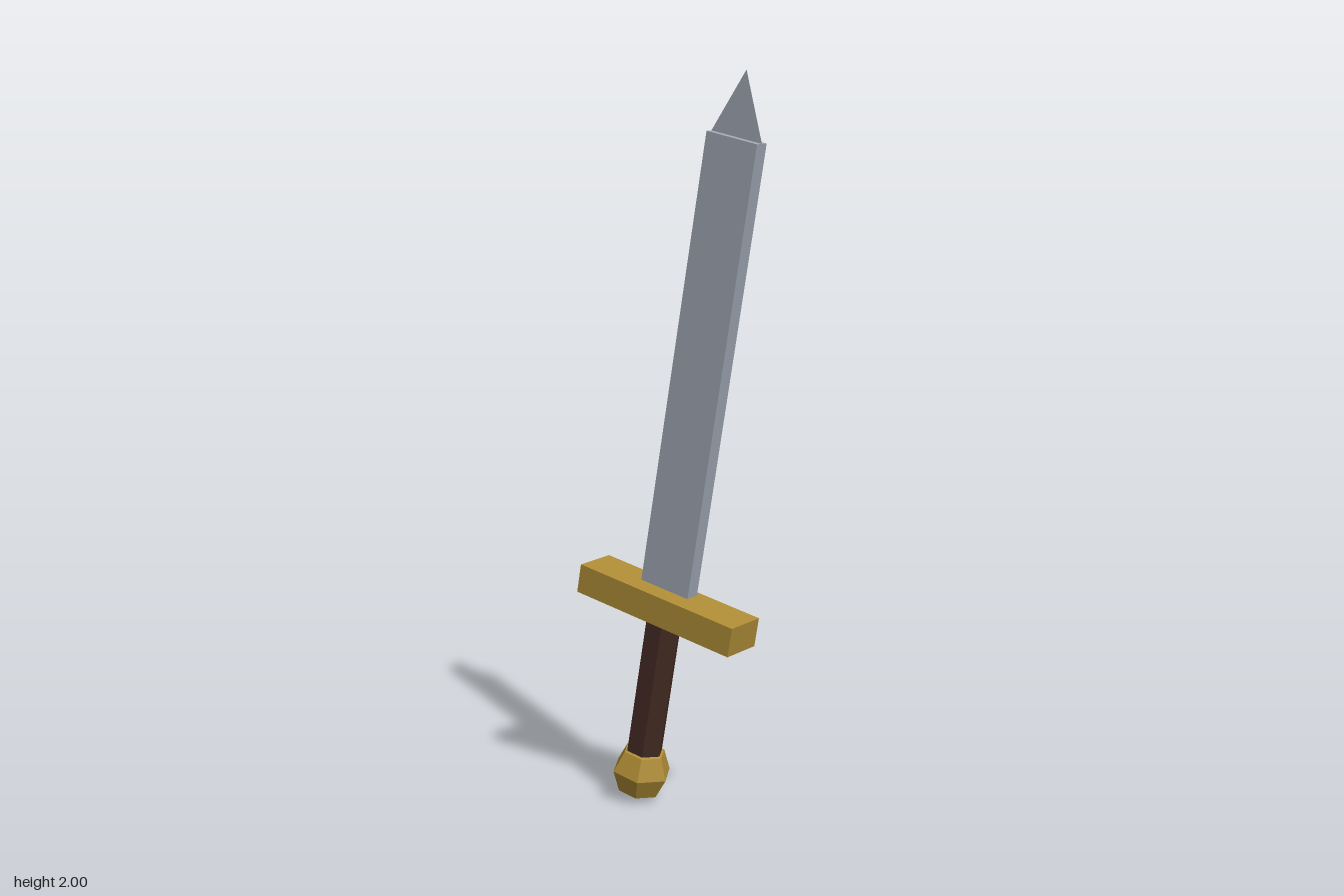
import * as THREE from 'three';

const steel = new THREE.MeshStandardMaterial({ color: 0xa0a7b3 });
steel.name = 'steel';
steel.flatShading = true;
steel.side = THREE.DoubleSide; // the point is a single thin sheet
const brass = new THREE.MeshStandardMaterial({ color: 0xae8c36 });
brass.name = 'brass';
brass.flatShading = true;
const leather = new THREE.MeshStandardMaterial({ color: 0x432a22 });
leather.name = 'leather';
leather.flatShading = true;

export function createModel() {
  // The sword is built upright around the guard, then leaned to its left
  const sword = new THREE.Group();
  sword.name = 'sword';
  const add = (name, geometry, material, y) => {
    const mesh = new THREE.Mesh(geometry, material);
    mesh.name = name;
    mesh.position.y = y;
    sword.add(mesh);
  };

  // Blade floats just above the guard
  const bladeWidth = 0.158, bladeBase = 0.05, bladeLength = 1.227;
  const bladeTop = bladeBase + bladeLength;
  add('blade', new THREE.BoxGeometry(bladeWidth, bladeLength, 0.042), steel, bladeBase + bladeLength / 2);

  // Flat triangular point in the middle of the blade's thickness
  const point = new THREE.Shape([
    new THREE.Vector2(-bladeWidth / 2, 0),
    new THREE.Vector2(bladeWidth / 2, 0),
    new THREE.Vector2(0, 0.17),
  ]);
  add('bladePoint', new THREE.ShapeGeometry(point), steel, bladeTop);

  add('guard', new THREE.BoxGeometry(0.516, 0.081, 0.122), brass, 0);

  // Six-sided grip and pommel, with corners facing sideways
  add('grip', new THREE.CylinderGeometry(0.052, 0.052, 0.46, 6).rotateY(Math.PI / 6), leather, -0.25);
  add('pommel', new THREE.SphereGeometry(0.084, 6, 4), brass, -0.498);

  sword.rotation.z = -THREE.MathUtils.degToRad(10);
  sword.position.set(-0.021, 0.575, -0.001);

  const model = new THREE.Group();
  model.name = 'model';
  model.add(sword);
  return model;
}
